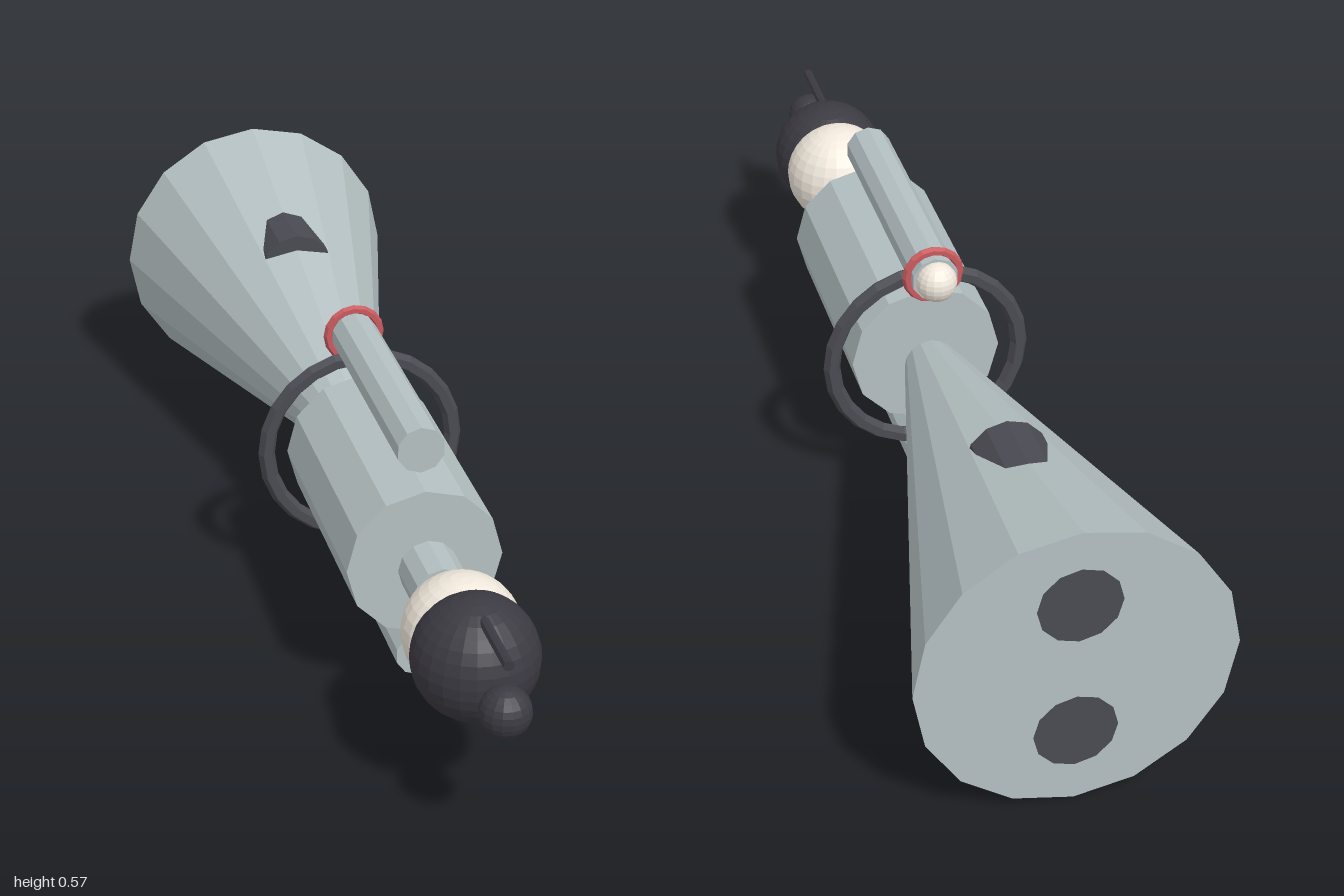
import * as THREE from 'three';

const CY = 0.285; // height of the long axis

const material = (color) => new THREE.MeshStandardMaterial({ color, flatShading: true });

export function createModel() {
  const group = new THREE.Group();
  group.name = 'lyingFigure';

  const cloth = material(0xb4c0c2);
  const dark = material(0x4a4a52);
  const hairMat = material(0x3c3a42);
  const skin = material(0xf0e8dc);
  const red = material(0xc85a5e);

  function add(name, geometry, mat, y, z) {
    const mesh = new THREE.Mesh(geometry, mat);
    mesh.name = name;
    mesh.position.set(0, y, z);
    group.add(mesh);
    return mesh;
  }

  // Cylinder or cone along z, from front z1 (radius r1) to back z2 (radius r2)
  function rod(name, r1, r2, z1, z2, sides, mat, y = CY) {
    const geometry = new THREE.CylinderGeometry(r1, r2, z1 - z2, sides);
    geometry.rotateX(Math.PI / 2);
    return add(name, geometry, mat, y, (z1 + z2) / 2);
  }

  function ball(name, r, y, z, mat, w = 24, h = 16) {
    return add(name, new THREE.SphereGeometry(r, w, h), mat, y, z);
  }

  // Head, hair, bun and hairpin
  ball('head', 0.107, CY, 0.692, skin);
  ball('hair', 0.114, CY, 0.777, hairMat);
  ball('bun', 0.046, CY, 0.954, hairMat, 16, 12);
  rod('hairpin', 0.01, 0.01, 0.967, 0.77, 8, hairMat, 0.381);

  // Neck, torso, sash and skirt
  rod('neck', 0.055, 0.055, 0.572, 0.468, 12, cloth);
  rod('torso', 0.146, 0.146, 0.45, -0.03, 12, cloth);
  add('sash', new THREE.TorusGeometry(0.187, 0.0165, 6, 24), dark, CY, -0.03);
  rod('skirt', 0.05, 0.285, -0.06, -1, 16, cloth);

  // Arms, hands and feet on both sides
  for (const side of [1, -1]) {
    const armY = CY + side * 0.213;
    rod('arm', 0.045, 0.045, 0.418, -0.1, 10, cloth, armY);
    ball('hand', 0.039, armY, -0.106, skin, 16, 12);
    rod('foot', 0.075, 0.075, -0.57, -1.0005, 12, dark, CY + side * 0.135);
  }

  // Bracelet on one wrist, small pick held in the other hand
  add('bracelet', new THREE.TorusGeometry(0.051, 0.009, 6, 16), red, CY + 0.213, -0.08);
  add('pickHandle', new THREE.CylinderGeometry(0.005, 0.005, 0.075, 6), dark, 0.07, -0.135);
  add('pickHead', new THREE.CylinderGeometry(0.01, 0.01, 0.016, 8), dark, 0.102, -0.135);

  return group;
}
